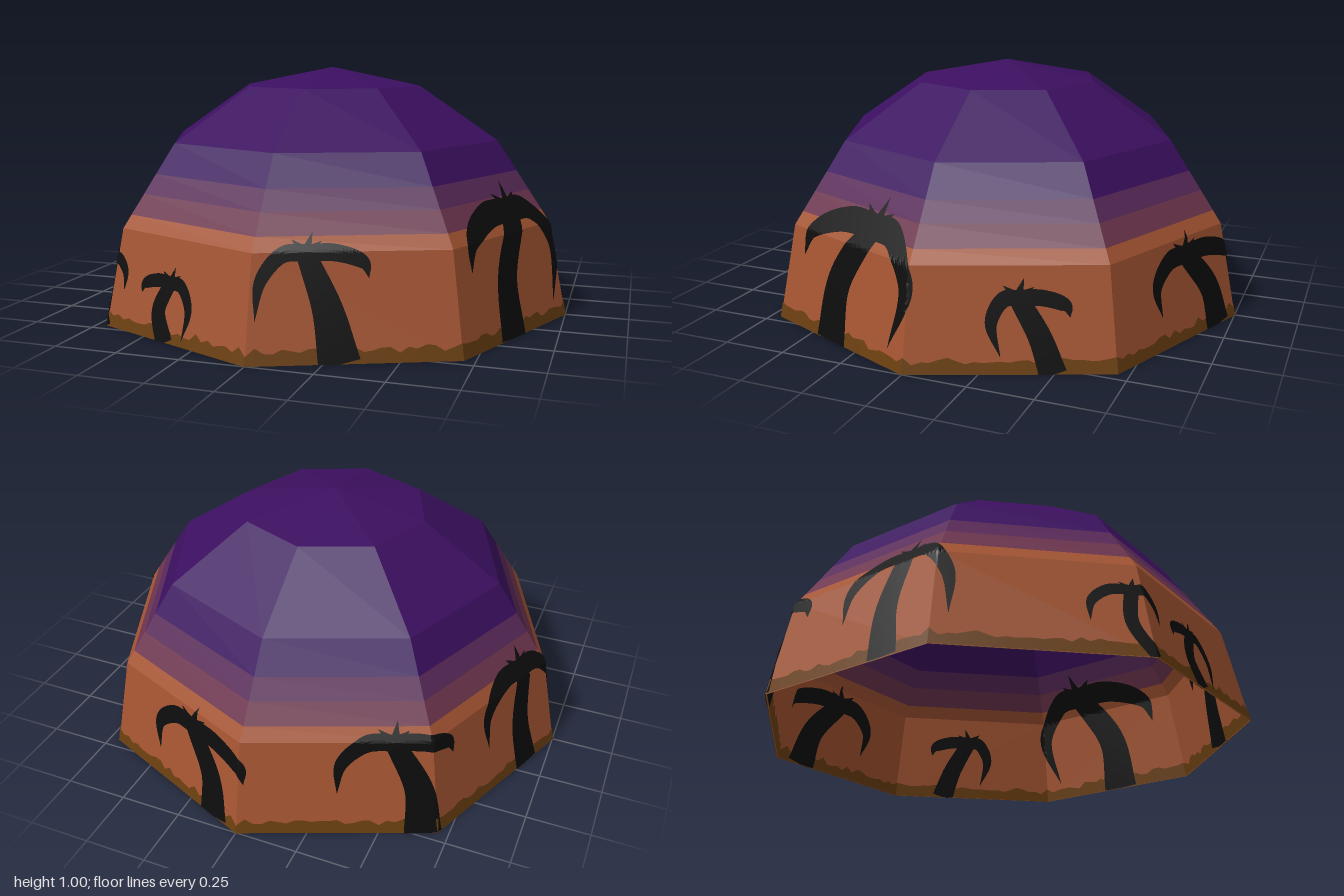
import * as THREE from 'three';
import { mergeGeometries } from 'three/addons/utils/BufferGeometryUtils.js';

const SIDES = 8;
const FACE = 2 * Math.sin(Math.PI / SIDES); // width of one face at the ground
const RINGS = [0, 1, 2, 3, 4].map(i => [Math.cos(i * Math.PI / 8), Math.sin(i * Math.PI / 8)]);

const mat = (name, color) => {
  const m = new THREE.MeshStandardMaterial({ color, side: THREE.DoubleSide });
  m.name = name;
  return m;
};

// Dome radius at height y
function radiusAt(y) {
  const i = Math.max(1, RINGS.findIndex(ring => y <= ring[1]));
  const [r0, y0] = RINGS[i - 1], [r1, y1] = RINGS[i];
  return r0 + (r1 - r0) * (y - y0) / (y1 - y0);
}

// Point on the dome: t counts faces around from the front corner, y is height
function onDome(t, height, scale) {
  const y = Math.max(0, height);
  const k = Math.floor(t), f = t - k, a = k * Math.PI / 4, b = a + Math.PI / 4;
  const r = radiusAt(y) * scale;
  return [
    r * (Math.sin(a) * (1 - f) + Math.sin(b) * f),
    y * scale,
    r * (Math.cos(a) * (1 - f) + Math.cos(b) * f),
  ];
}

// Grid of points fn(i, j) joined into a flat-shaded surface
function gridGeometry(rows, cols, fn) {
  const pos = [], index = [];
  for (let i = 0; i <= rows; i++) {
    for (let j = 0; j <= cols; j++) {
      pos.push(...fn(i, j));
      if (i < rows && j < cols) {
        const p = i * (cols + 1) + j, q = p + cols + 1;
        index.push(p, p + 1, q, q, p + 1, q + 1);
      }
    }
  }
  const g = new THREE.BufferGeometry();
  g.setAttribute('position', new THREE.Float32BufferAttribute(pos, 3));
  g.setIndex(index);
  const flat = g.toNonIndexed();
  flat.computeVertexNormals();
  return flat;
}

// Tapering strip along [t, y, width] points, laid on the dome
function ribbon(points, scale) {
  const curve = new THREE.CatmullRomCurve3(points.map(([t, y, w]) => new THREE.Vector3(t * FACE, y, w)));
  const rows = 28, cols = 6;
  return gridGeometry(rows, cols, (i, j) => {
    const p = curve.getPoint(i / rows), d = curve.getTangent(i / rows);
    const len = Math.hypot(d.x, d.y) || 1;
    const o = (j / cols - 0.5) * Math.max(0, p.z);
    return onDome((p.x - d.y / len * o) / FACE, p.y + d.x / len * o, scale);
  });
}

// base and crown are positions around the rim; each frond is [reach, tip height, curl]
const PALMS = [
  { base: 0.43, crown: 0.265, height: 0.38, width: 0.15, bend: 0.025, leaf: 0.055, fronds: [[-0.23, 0.15, 1], [0.31, 0.29, 1]] },
  { base: 1.45, crown: 1.66, height: 0.46, width: 0.17, bend: -0.09, leaf: 0.085, fronds: [[-0.52, 0.28, 1], [0.35, 0.07, 0.65]] },
  { base: 2.7, crown: 2.54, height: 0.27, width: 0.1, bend: 0.02, leaf: 0.055, fronds: [[-0.14, 0.06, 0.6], [0.25, 0.2, 1]] },
  { base: 3.83, crown: 3.62, height: 0.32, width: 0.15, bend: 0.07, leaf: 0.07, fronds: [[-0.29, 0.12, 0.85], [0.41, 0.21, 1]] },
  { base: 4.93, crown: 4.8, height: 0.38, width: 0.15, bend: 0.05, leaf: 0.06, fronds: [[-0.3, 0.17, 1], [0.35, 0.29, 1]] },
  { base: 5.74, crown: 5.8, height: 0.42, width: 0.13, bend: -0.05, leaf: 0.065, fronds: [[-0.38, 0.19, 0.95], [0.28, 0.12, 1]] },
  { base: 7, crown: 6.94, height: 0.27, width: 0.05, bend: -0.055, leaf: 0.042, fronds: [[-0.22, 0.13, 1], [0.16, 0.15, 1]] },
  { base: 7.45, crown: 7.45, height: 0.22, width: 0.09, bend: -0.065, leaf: 0.048, fronds: [[-0.21, 0.16, 1], [0.16, 0.02, 0.75]] },
];

function palmGeometry({ base, crown, height, width, bend, leaf, fronds }, scale) {
  // bowed trunk narrowing towards the crown
  const trunk = [
    [base, 0, width],
    [(base + crown) / 2 + bend, height / 2, (width + leaf * 1.3) / 2],
    [crown, height, leaf * 1.3],
  ];
  // arching fronds that droop to a point
  const arches = fronds.map(([reach, tip, curl]) => {
    const drop = height - tip;
    return [
      [crown, height, leaf],
      [crown + reach * 0.5, height - drop * 0.03, leaf * 1.05],
      [crown + reach * 0.92, height - drop * 0.4, leaf * 0.85],
      [crown + reach * curl, tip, 0],
    ];
  });
  // short upright leaves at the crown
  const size = leaf * 1.3;
  const spikes = [0.55, 1.25, 2.5].map(a => [0, 0.5, 1].map(f => [
    crown + Math.cos(a) * size * f / FACE, height + Math.sin(a) * size * f, size * 0.6 * (1 - f)]));
  return mergeGeometries([trunk, ...arches, ...spikes].map(p => ribbon(p, scale)));
}

// Bumpy scrub line around the rim
function scrubGeometry(scale) {
  const per = 24, n = SIDES * per;
  let seed = 7;
  const rand = () => (seed = (seed * 16807) % 2147483647) / 2147483647;
  const tops = Array.from({ length: n / 2 }, () => 0.033 + 0.03 * rand());
  return gridGeometry(n, 1, (i, j) => onDome(i / per, j ? tops[i % tops.length] : 0, scale));
}

export function createModel() {
  const model = new THREE.Group();
  model.name = 'sunsetDome';
  const add = (name, geometry, material, parent = model) => {
    const mesh = new THREE.Mesh(geometry, material);
    mesh.name = name;
    parent.add(mesh);
  };

  // Dome shell in horizontal colour bands
  const bands = [
    ['sunsetBand', mat('sunsetOrange', 0xa55532), [0, RINGS[1][1], 0.434]],
    ['lowerDuskBand', mat('duskRose', 0x6e354f), [0.434, 0.512]],
    ['upperDuskBand', mat('duskPlum', 0x5a2a5a), [0.512, 0.588]],
    ['nightSky', mat('nightPurple', 0x3c0f60), [0.588, RINGS[2][1], RINGS[3][1], 1]],
  ];
  for (const [name, material, heights] of bands) {
    const profile = heights.map(y => new THREE.Vector2(radiusAt(y), y));
    const g = new THREE.LatheGeometry(profile, SIDES).toNonIndexed();
    g.computeVertexNormals();
    add(name, g, material);
  }

  // Painted silhouettes on the outside and inside of the shell
  const black = mat('silhouetteBlack', 0x0c0c0c), brown = mat('scrubBrown', 0x6b3f10);
  for (const [side, palmScale, scrubScale] of [['outer', 1.005, 1.003], ['inner', 0.995, 0.997]]) {
    const group = new THREE.Group();
    group.name = side + 'Silhouettes';
    model.add(group);
    add(side + 'Scrub', scrubGeometry(scrubScale), brown, group);
    PALMS.forEach((p, i) => add(side + 'Palm' + (i + 1), palmGeometry(p, palmScale), black, group));
  }
  return model;
}
